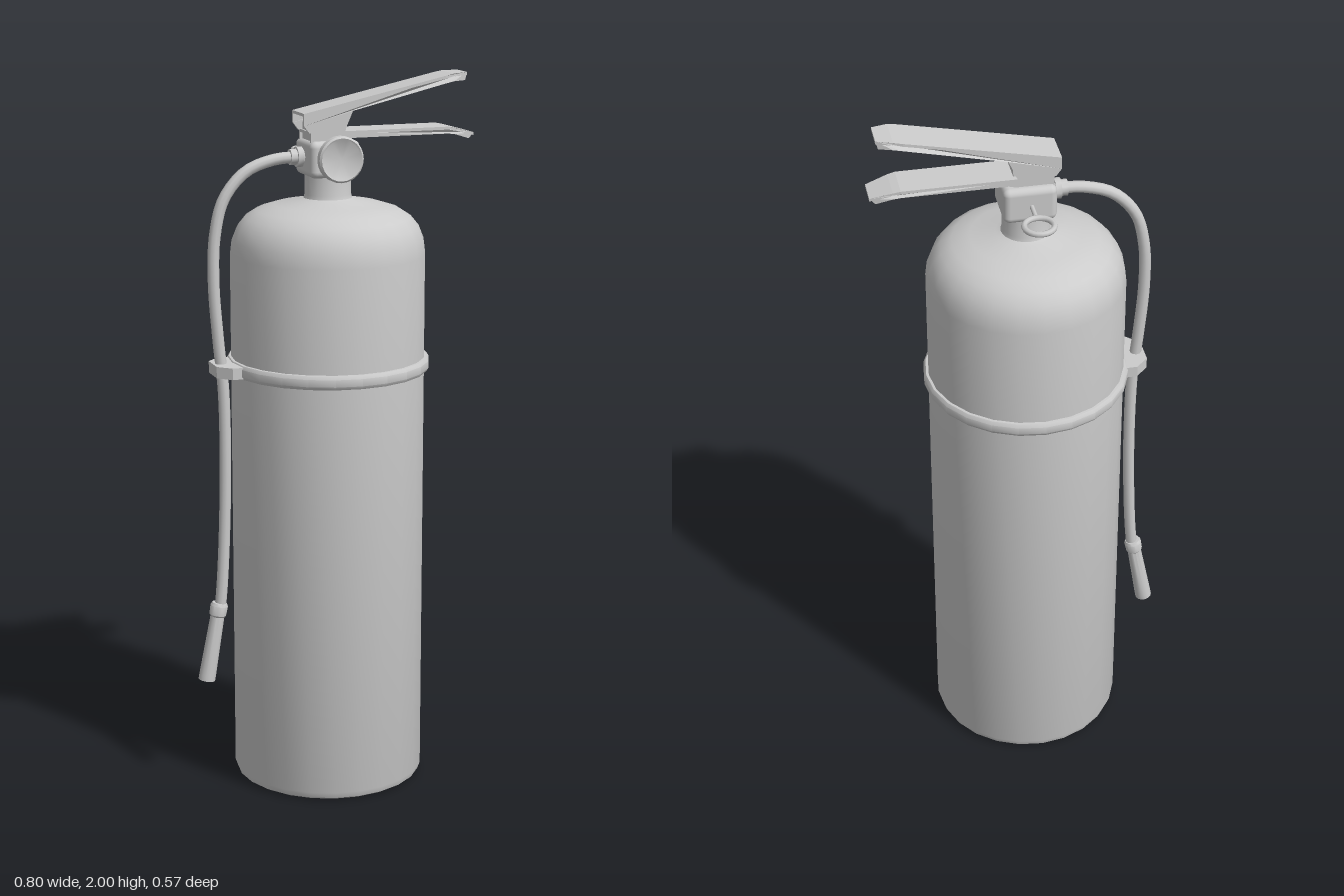
import * as THREE from 'three';
import { toCreasedNormals } from 'three/addons/utils/BufferGeometryUtils.js';
import { RoundedBoxGeometry } from 'three/addons/geometries/RoundedBoxGeometry.js';

const material = new THREE.MeshStandardMaterial({ color: 0xcccccc, side: THREE.DoubleSide });
const AXIS = -0.015; // x of the cylinder axis
const v2 = (p) => new THREE.Vector2(...p);

export function createModel() {
  const model = new THREE.Group();

  const add = (name, geometry, x = 0, y = 0, z = 0, parent = model) => {
    const mesh = new THREE.Mesh(geometry, material);
    mesh.name = name;
    mesh.position.set(x, y, z);
    parent.add(mesh);
    return mesh;
  };
  const lathe = (points, segments = 24) =>
    toCreasedNormals(new THREE.LatheGeometry(points.map(v2), segments), 0.6);

  // Tank with rounded shoulder and neck
  add('tank', lathe([
    [0, 0], [0.25, 0], [0.264, 0.008], [0.27, 0.025], [0.27, 1.515], [0.265, 1.555], [0.251, 1.59],
    [0.229, 1.617], [0.198, 1.637], [0.15, 1.652], [0.08, 1.665], [0.067, 1.67], [0.064, 1.68],
    [0.064, 1.74], [0, 1.74],
  ]), AXIS);

  // Strap around the tank, with the hose clip on the right side
  add('strap', lathe([
    [0.266, 1.19], [0.277, 1.191], [0.283, 1.2], [0.283, 1.22], [0.277, 1.229], [0.266, 1.23],
  ]), AXIS);
  const clipShape = new THREE.Shape([
    [-0.26, -0.073], [-0.26, 0.073], [-0.315, 0.073], [-0.35, 0.038], [-0.35, -0.038], [-0.315, -0.073],
  ].map(v2));
  const clip = new THREE.ExtrudeGeometry(clipShape, { depth: 0.032, bevelEnabled: false });
  add('hoseClip', clip.rotateX(-Math.PI / 2), 0, 1.194, 0);

  // Valve head
  add('valveBody', new RoundedBoxGeometry(0.143, 0.1, 0.142, 3, 0.018), AXIS, 1.78, 0);
  add('valveTop', new THREE.BoxGeometry(0.1, 0.06, 0.07), AXIS - 0.01, 1.845, 0);

  // Pressure gauge on the front
  add('gaugeStem', new THREE.CylinderGeometry(0.023, 0.023, 0.04, 16).rotateX(Math.PI / 2), AXIS, 1.785, 0.08);
  add('gauge', lathe([
    [0, 0.09], [0.058, 0.09], [0.063, 0.094], [0.063, 0.113], [0.058, 0.118], [0.053, 0.115], [0, 0.115],
  ]).rotateX(Math.PI / 2), AXIS, 1.786, 0);

  // Safety pin and pull ring at the back
  add('safetyPin', new THREE.CylinderGeometry(0.006, 0.006, 0.07, 10).rotateX(Math.PI / 2), AXIS - 0.002, 1.78, -0.09);
  add('pullRing', new THREE.TorusGeometry(0.039, 0.008, 8, 24).rotateX(Math.PI / 2), AXIS - 0.002, 1.78, -0.165);

  // Folded sheet-metal lever: a top plate with a flange down each side, narrowing past x = 0.3
  const HALF = 0.05, SHEET = 0.008;
  const lever = (name, top, bottom) => {
    const group = new THREE.Group();
    group.name = name;
    model.add(group);
    const slab = (part, upper, lower, z, depth) => {
      const outline = new THREE.Shape([...lower, ...[...upper].reverse()].map(v2));
      const g = new THREE.ExtrudeGeometry(outline, { depth, bevelEnabled: false }).translate(0, 0, z);
      const p = g.attributes.position;
      const tip = top[top.length - 1][0];
      for (let i = 0; i < p.count; i++) {
        const t = THREE.MathUtils.clamp((p.getX(i) - 0.33) / (tip - 0.33), 0, 1);
        p.setZ(i, p.getZ(i) * (1 - 0.28 * t));
      }
      g.computeVertexNormals();
      add(part, g, 0, 0, 0, group);
    };
    slab('plate', top, top.map(([x, y]) => [x, y - SHEET]), -HALF, 2 * HALF);
    slab('flange', top, bottom, -HALF, SHEET);
    slab('flange', top, bottom, HALF - SHEET, SHEET);
  };
  lever('squeezeLever',
    [[-0.1, 1.905], [0.31, 1.993], [0.335, 1.998], [0.378, 2.0]],
    [[-0.1, 1.872], [-0.085, 1.852], [0.01, 1.838], [0.025, 1.874], [0.04, 1.908], [0.31, 1.972], [0.335, 1.977], [0.372, 1.978]]);
  lever('carryHandle',
    [[-0.08, 1.854], [0.32, 1.854], [0.34, 1.85], [0.4, 1.834]],
    [[-0.08, 1.825], [0.0, 1.825], [0.04, 1.835], [0.32, 1.835], [0.34, 1.832], [0.385, 1.818]]);

  // Hose with its fitting at the valve
  const fitting = lathe([
    [0, 0], [0.022, 0], [0.022, 0.018], [0.028, 0.018], [0.028, 0.034], [0.02, 0.034], [0.02, 0.05], [0, 0.05],
  ], 12).rotateZ(-Math.PI / 2);
  add('hoseFitting', fitting, -0.125, 1.784, 0);
  const path = new THREE.CatmullRomCurve3([
    [-0.1, 1.784], [-0.17, 1.779], [-0.25, 1.75], [-0.312, 1.68], [-0.339, 1.58], [-0.344, 1.45],
    [-0.333, 1.29], [-0.32, 1.15], [-0.317, 0.95], [-0.322, 0.75], [-0.33, 0.6], [-0.338, 0.51],
  ].map(([x, y]) => new THREE.Vector3(x, y, 0)));
  add('hose', new THREE.TubeGeometry(path, 60, 0.016, 10));

  // Nozzle hanging at the end of the hose, open at the bottom
  const nozzle = add('nozzle', lathe([
    [0, -0.05], [0.017, -0.05], [0.017, -0.229], [0.024, -0.229], [0.024, -0.215], [0.02, -0.04],
    [0.024, -0.035], [0.025, -0.008], [0.021, 0], [0, 0],
  ], 14), -0.339, 0.535, 0);
  nozzle.rotation.z = -0.18;

  return model;
}
